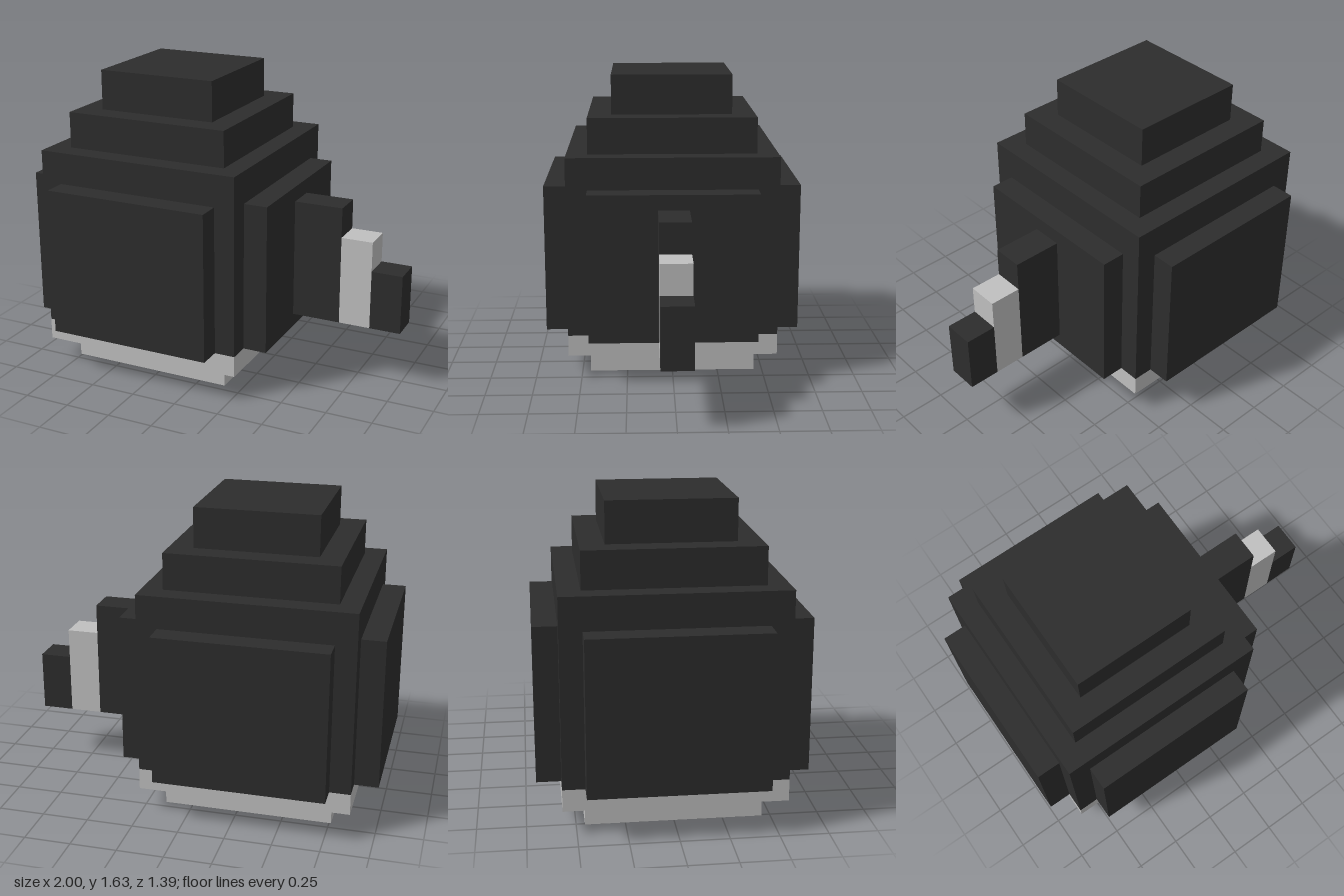
import * as THREE from 'three';

export function createModel() {
  const model = new THREE.Group();
  const dark = new THREE.MeshStandardMaterial({ color: 0x2d2d2d });
  dark.name = 'charcoal';
  const light = new THREE.MeshStandardMaterial({ color: 0xc0c0c0 });
  light.name = 'light grey';

  // Box given by its lower and upper corners
  function block(name, material, [x0, y0, z0], [x1, y1, z1]) {
    const mesh = new THREE.Mesh(new THREE.BoxGeometry(x1 - x0, y1 - y0, z1 - z0), material);
    mesh.position.set((x0 + x1) / 2, (y0 + y1) / 2, (z0 + z1) / 2);
    mesh.name = name;
    model.add(mesh);
  }

  // Stacked tiers of the body, all centred on the same axis
  const cx = -0.305;
  const tiers = [
    ['base', light, 0.455, 0.455, 0, 0.13],
    ['lowerRim', light, 0.567, 0.57, 0.13, 0.245],
    ['body', dark, 0.567, 0.57, 0.245, 1.225],
    ['shoulder', dark, 0.455, 0.455, 1.225, 1.42],
    ['cap', dark, 0.327, 0.328, 1.42, 1.635],
  ];
  for (const [name, mat, hx, hz, y0, y1] of tiers) {
    block(name, mat, [cx - hx, y0, -hz], [cx + hx, y1, hz]);
  }

  // Raised panels on the four sides
  const y0 = 0.245, y1 = 1.052, h = 0.455;
  block('frontPanel', dark, [cx - h, y0, 0.57], [cx + h, y1, 0.695]);
  block('backPanel', dark, [cx - h, y0, -0.695], [cx + h, y1, -0.57]);
  block('leftPanel', dark, [cx + 0.567, y0, -h], [0.39, y1, h]);
  block('rightPanel', dark, [-1, y0, -h], [cx - 0.567, y1, h]);

  // Stepped tail, shrinking outwards with a light band
  const tail = [
    ['tailRoot', dark, 0.39, 0.657, 0.97],
    ['tailBand', light, 0.657, 0.83, 0.806],
    ['tailTip', dark, 0.83, 1, 0.643],
  ];
  for (const [name, mat, x0, x1, top] of tail) {
    block(name, mat, [x0, 0.318, -0.084], [x1, top, 0.082]);
  }
  return model;
}
